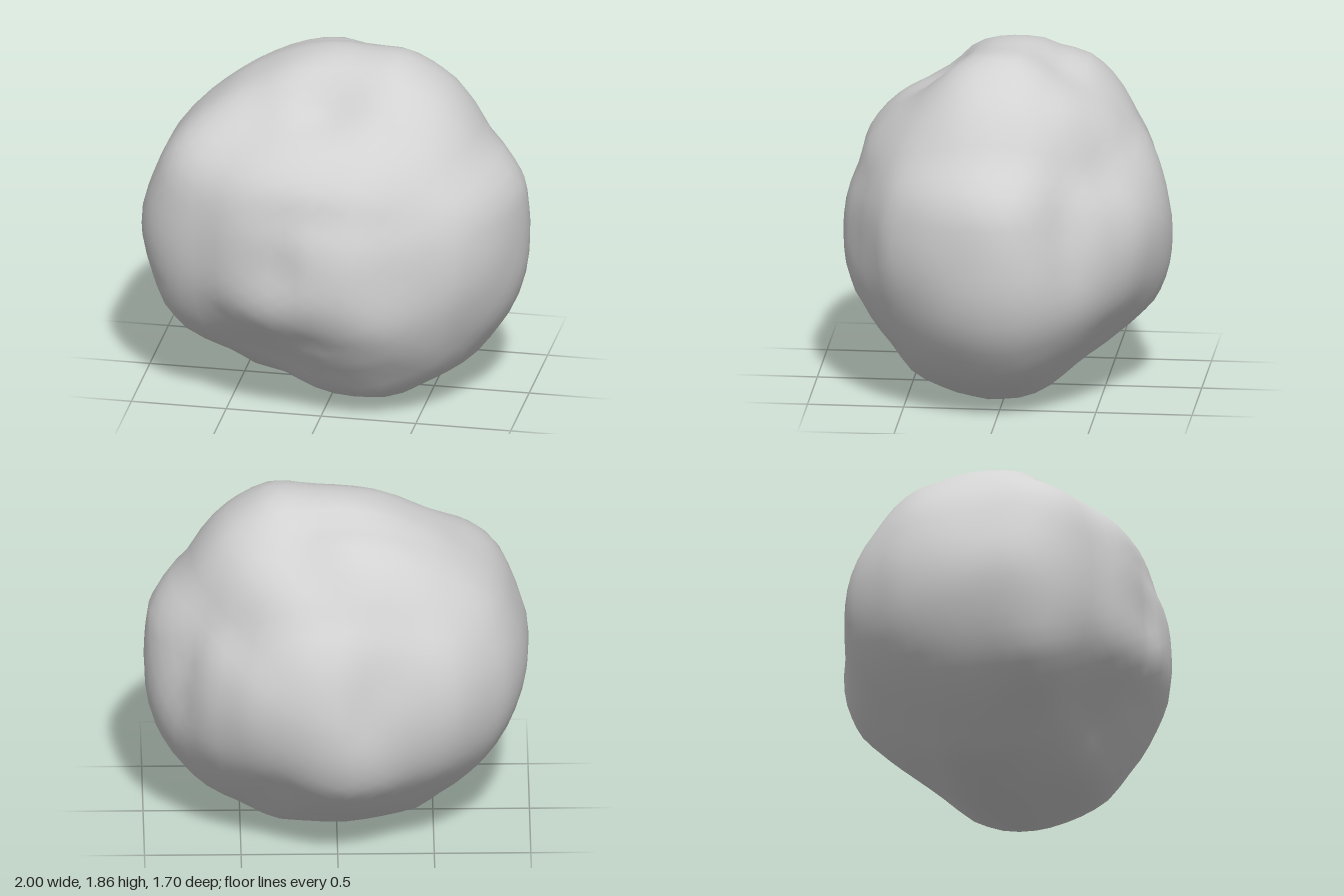
import * as THREE from 'three';
import { mergeVertices } from 'three/addons/utils/BufferGeometryUtils.js';

const MID = 0.93; // height of the boulder's centre

// Outlines of the boulder: [x, y], [z, y] and [x, z]
const frontOutline = [
  [0.34, 1.87], [0.61, 1.70], [0.79, 1.43], [0.98, 1.20], [1, 0.9], [0.93, 0.47], [0.75, 0.21], [0.5, 0.09],
  [0.32, 0], [0.17, 0.01], [0, 0.05], [-0.2, 0.05], [-0.43, 0.085], [-0.57, 0.19], [-0.85, 0.48], [-0.95, 0.7],
  [-1, 0.9], [-0.93, 1.18], [-0.85, 1.36], [-0.64, 1.57], [-0.4, 1.73], [-0.1, 1.84], [0.13, 1.86],
].map(([a, b]) => [a, b - MID]);
const sideOutline = [
  [-0.07, 1.87], [-0.14, 1.86], [-0.25, 1.79], [-0.39, 1.78], [-0.51, 1.69], [-0.59, 1.58], [-0.66, 1.43],
  [-0.79, 1.21], [-0.83, 1], [-0.855, 0.76], [-0.84, 0.62], [-0.79, 0.46], [-0.6, 0.26], [-0.33, 0.12],
  [-0.28, 0.06], [-0.14, 0.005], [0, 0.01], [0.23, 0.05], [0.48, 0.11], [0.6, 0.3], [0.7, 0.5], [0.85, 0.76],
  [0.86, 0.9], [0.83, 1.06], [0.77, 1.2], [0.74, 1.34], [0.56, 1.54], [0.46, 1.61], [0.33, 1.73], [0.22, 1.84],
].map(([a, b]) => [a, b - MID]);
const topOutline = [
  [0.02, -0.85], [0.2, -0.83], [0.33, -0.79], [0.48, -0.73], [0.6, -0.63], [0.7, -0.54], [0.8, -0.36],
  [0.92, -0.24], [0.985, -0.12], [1, 0], [0.97, 0.15], [0.9, 0.36], [0.73, 0.59], [0.6, 0.66], [0.4, 0.75],
  [0.18, 0.85], [0.02, 0.83], [-0.13, 0.77], [-0.43, 0.73], [-0.6, 0.64], [-0.83, 0.52], [-0.94, 0.41],
  [-1, 0.28], [-0.985, 0], [-0.97, -0.13], [-0.89, -0.38], [-0.8, -0.5], [-0.6, -0.7], [-0.42, -0.75], [-0.13, -0.78],
];

// Dents (negative) and lumps (positive): direction, depth, angular width
const dents = [
  [[-0.02, 0.9, 0.38], -0.08, 0.22],   // hollow behind the front ledge
  [[-0.4, 0.8, 0.38], -0.04, 0.25],    // ledge running to the left
  [[-0.76, 0.48, 0.44], 0.055, 0.27],  // shoulders of the front block
  [[-0.4, 0.43, 0.78], 0.035, 0.3],
  [[-0.36, -0.76, 0.52], -0.085, 0.34], // undercut at the lower front
  [[-0.3, -0.32, 0.85], 0.03, 0.25],
  [[-0.78, -0.45, 0.4], 0.045, 0.25],
  [[0.35, -0.87, 0.35], 0.03, 0.3],    // foot
  [[0.32, -0.45, 0.75], 0.055, 0.32],  // lower front swell
  [[0.75, -0.55, 0.3], -0.03, 0.3],    // tapering underside
  [[0.7, -0.6, -0.25], -0.03, 0.3],
  [[0.38, -0.6, -0.65], -0.09, 0.42],
  [[-0.42, -0.65, -0.6], -0.05, 0.38],
  [[0.62, 0.48, -0.6], -0.07, 0.4],    // recess behind the side ridge
  [[0.86, 0.25, -0.32], -0.035, 0.22],
  [[0.25, 0.84, -0.42], -0.055, 0.22], // saddle between the two top lumps
  [[0.05, 0.74, -0.62], -0.03, 0.2],
  [[-0.25, 0.25, -0.9], -0.03, 0.25],  // step beside the back ridge
].map(([d, depth, width]) => ({ d: new THREE.Vector3(...d).normalize(), depth, width }));

// Returns the radius of an outline as a function of angle
function polar(outline) {
  const pts = outline.map(([a, b]) => [Math.atan2(b, a), Math.hypot(a, b)]).sort((p, q) => p[0] - q[0]);
  const n = pts.length;
  const ring = [[pts[n - 1][0] - 2 * Math.PI, pts[n - 1][1]], ...pts, [pts[0][0] + 2 * Math.PI, pts[0][1]]];
  return (a, b) => {
    const t = Math.atan2(b, a);
    let i = 1;
    while (i < ring.length - 1 && ring[i][0] < t) i++;
    const [p, q] = [ring[i - 1], ring[i]];
    return THREE.MathUtils.lerp(p[1], q[1], (t - p[0]) / (q[0] - p[0]));
  };
}

export function createModel() {
  const front = polar(frontOutline), side = polar(sideOutline), top = polar(topOutline);

  // Each outline counts most near its own plane
  const radius = (v) => {
    const wf = 1 / (v.z * v.z + 0.015), ws = 1 / (v.x * v.x + 0.015), wt = 1 / (v.y * v.y + 0.015);
    let r = (wf * front(v.x, v.y) + ws * side(v.z, v.y) + wt * top(v.x, v.z)) / (wf + ws + wt);
    for (const { d, depth, width } of dents) r += depth * Math.exp(-((v.angleTo(d) / width) ** 2));
    return r;
  };

  let geometry = new THREE.IcosahedronGeometry(1, 11);
  geometry.deleteAttribute('normal');
  geometry.deleteAttribute('uv');
  geometry = mergeVertices(geometry, 1e-4);
  const pos = geometry.attributes.position, v = new THREE.Vector3();
  for (let i = 0; i < pos.count; i++) {
    v.fromBufferAttribute(pos, i).normalize();
    v.multiplyScalar(radius(v));
    pos.setXYZ(i, v.x, v.y, v.z);
  }

  // Set on the ground and centred
  geometry.computeBoundingBox();
  const { min, max } = geometry.boundingBox;
  geometry.translate(-(min.x + max.x) / 2, -min.y, -(min.z + max.z) / 2);
  geometry.computeVertexNormals();

  const stone = new THREE.MeshStandardMaterial({ color: 0xd2d2d2 });
  stone.name = 'stone grey';
  const boulder = new THREE.Mesh(geometry, stone);
  boulder.name = 'boulder';
  const group = new THREE.Group();
  group.name = 'rock';
  group.add(boulder);
  return group;
}
